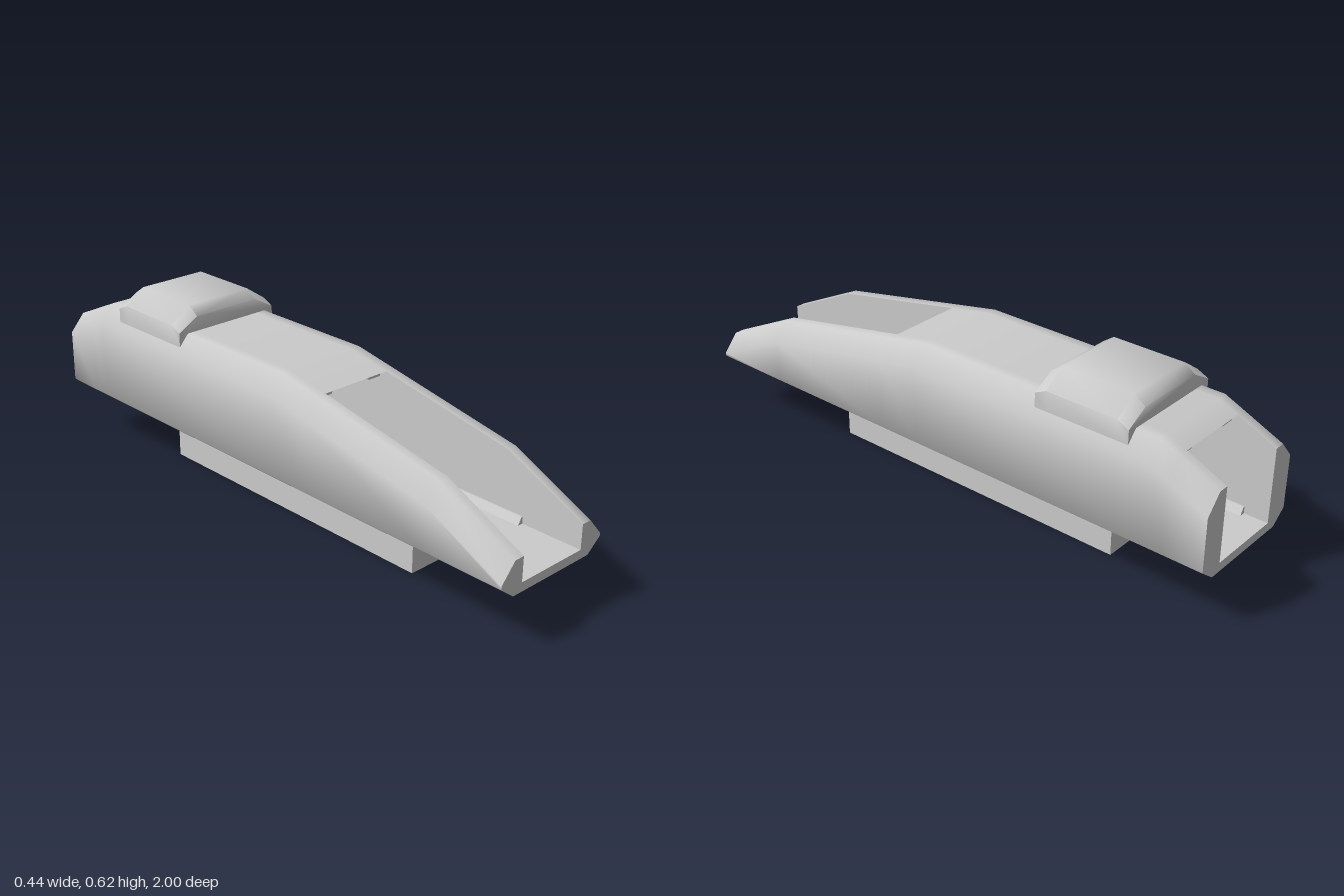
import * as THREE from 'three';
import { toCreasedNormals } from 'three/addons/utils/BufferGeometryUtils.js';

const material = new THREE.MeshStandardMaterial({ color: 0xcccccc });

function addMesh(parent, name, geometry, crease = 1.0) {
  const mesh = new THREE.Mesh(toCreasedNormals(geometry, crease), material);
  mesh.name = name;
  parent.add(mesh);
  return mesh;
}

// Joins sections [{ z, pts }] running front to back. Points go counter-clockwise
// seen from the front; edges(a, b) lists the point pairs skinned in a span.
function loft(sections, edges, capIndices) {
  const positions = [];
  const put = (s, i) => positions.push(s.pts[i][0], s.pts[i][1], s.z);
  for (let k = 0; k < sections.length - 1; k++) {
    const a = sections[k], b = sections[k + 1];
    for (const [i, j] of edges(a, b)) {
      put(a, i); put(b, i); put(a, j);
      put(a, j); put(b, i); put(b, j);
    }
  }
  const cap = (s, flip) => {
    const outline = capIndices.map((i) => new THREE.Vector2(...s.pts[i]));
    for (const face of THREE.ShapeUtils.triangulateShape(outline, [])) {
      const order = flip ? [face[2], face[1], face[0]] : face;
      order.forEach((f) => put(s, capIndices[f]));
    }
  };
  cap(sections[0], false);
  cap(sections[sections.length - 1], true);
  const geometry = new THREE.BufferGeometry();
  geometry.setAttribute('position', new THREE.Float32BufferAttribute(positions, 3));
  return geometry;
}

// Extrudes an x-y outline from z0 to z1
function prism(points, z0, z1) {
  const shape = new THREE.Shape(points.map(([x, y]) => new THREE.Vector2(x, y)));
  const geometry = new THREE.ExtrudeGeometry(shape, { depth: z1 - z0, bevelEnabled: false });
  return geometry.translate(0, 0, z0);
}

// Hollow body: chamfered outside, square bore, roof sloped down to both ends
function bodyGeometry() {
  const roof = 0.51;
  const profile = [[1, 0.28], [0.72, 0.415], [0.226, roof], [0.07, 0.54],
    [-0.8, 0.54], [-0.867, roof], [-1, 0.45]];
  const sections = profile.map(([z, t]) => ({
    z, top: t,
    pts: [
      [-0.13, t], [-0.165, t], [-0.218, t - 0.06], [-0.218, 0.21], [-0.165, 0.168],
      [0.165, 0.168], [0.218, 0.21], [0.218, t - 0.06], [0.165, t], [0.13, t],
      [0.13, Math.min(t, roof)], [0.13, 0.198], [-0.13, 0.198], [-0.13, Math.min(t, roof)],
    ],
  }));
  const walls = [];
  for (let i = 0; i < 9; i++) walls.push([i, i + 1]);
  walls.push([10, 11], [11, 12], [12, 13]);
  const roofEdges = [[9, 0], [13, 10]];
  const edges = (a, b) => (Math.max(a.top, b.top) > roof ? [...walls, ...roofEdges] : walls);
  return loft(sections, edges, [0, 1, 2, 3, 4, 5, 6, 7, 8, 9, 11, 12]);
}

// Bevelled saddle block sitting over the roof
function saddleGeometry() {
  const section = (z, top, shoulder) => ({
    z,
    pts: [[-0.125, top], [-0.2, shoulder], [-0.2, 0.5], [-0.165, 0.53],
      [0.165, 0.53], [0.2, 0.5], [0.2, shoulder], [0.125, top]],
  });
  const sections = [section(-0.39, 0.59, 0.548), section(-0.43, 0.618, 0.567),
    section(-0.68, 0.618, 0.567), section(-0.72, 0.59, 0.548)];
  const ring = [0, 1, 2, 3, 4, 5, 6, 7];
  return loft(sections, () => ring.map((i) => [i, (i + 1) % 8]), ring);
}

export function createModel() {
  const model = new THREE.Group();
  model.name = 'hollowBody';

  addMesh(model, 'body', bodyGeometry());
  addMesh(model, 'saddleBlock', saddleGeometry());

  // Keel: side outline drawn in z-y, then turned to run along z
  const keel = prism([[-0.54, 0], [0.59, 0], [0.59, 0.13], [0.47, 0.169],
    [-0.43, 0.169], [-0.54, 0.13]], -0.065, 0.065);
  addMesh(model, 'keel', keel.rotateY(Math.PI / 2));

  // Brackets bracing the keel on both sides
  for (const z of [0.348, -0.053, -0.408]) {
    addMesh(model, 'keelBracket', prism([[-0.155, 0.169], [-0.155, 0.16], [-0.065, 0.12],
      [0.065, 0.12], [0.155, 0.16], [0.155, 0.169]], z - 0.038, z + 0.038), 0.3);
  }

  // Rails in the corners of the bore
  for (const s of [1, -1]) {
    const mirror = (points) => points.map(([x, y]) => [x * s, y]);
    addMesh(model, 'upperRail', prism(mirror([[0.131, 0.511], [0.07, 0.511],
      [0.08, 0.487], [0.131, 0.487]]), -0.85, 0.2), 0.3);
    addMesh(model, 'lowerRail', prism(mirror([[0.131, 0.197], [0.131, 0.222],
      [0.125, 0.222], [0.11, 0.197]]), -0.92, 0.79), 0.3);
  }

  return model;
}
